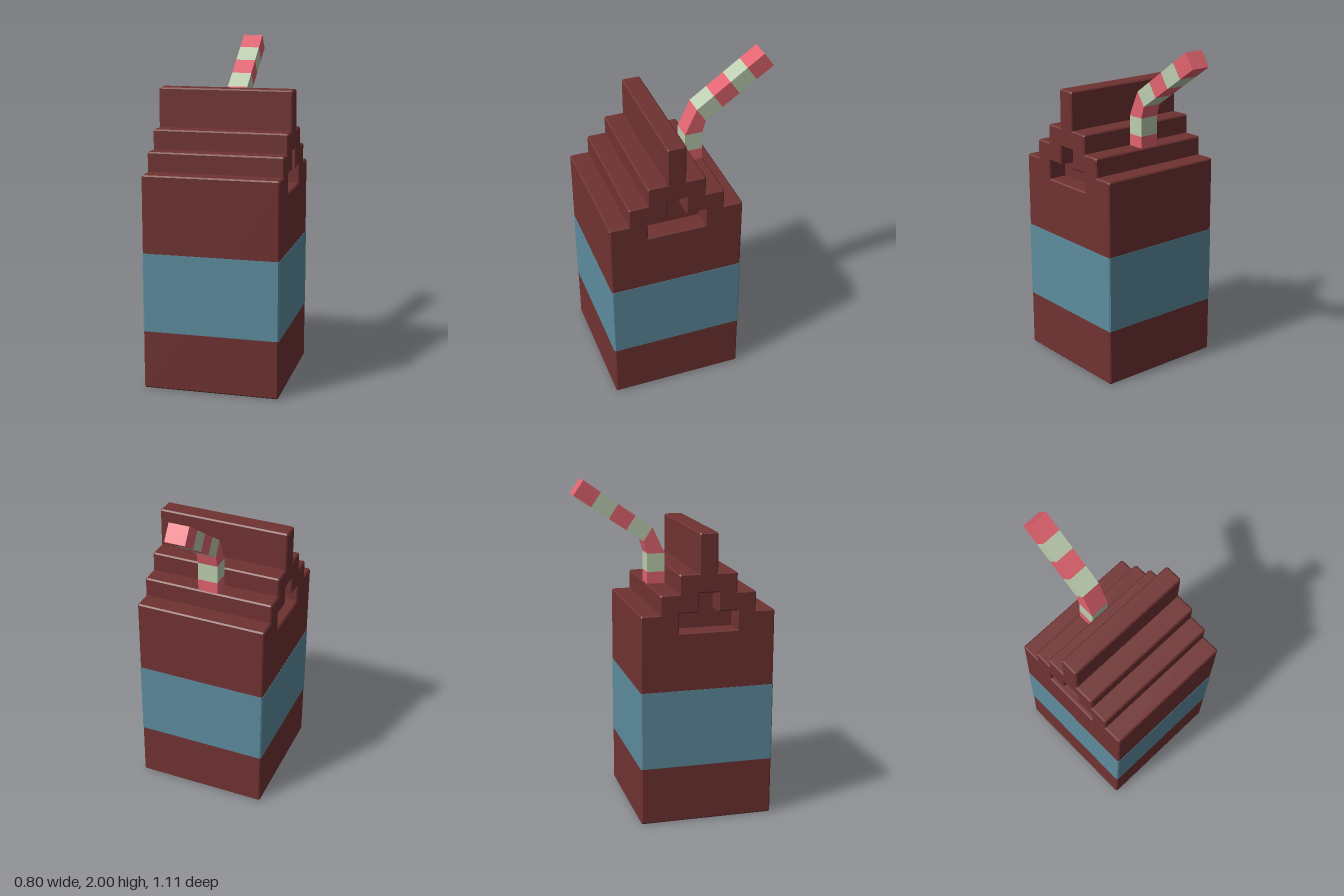
import * as THREE from 'three';

const mat = (name, color) => {
  const m = new THREE.MeshStandardMaterial({ color });
  m.name = name;
  return m;
};

// Cuts the outward corners of a counter-clockwise outline
function chamfer(points, c) {
  const out = [];
  points.forEach(([x, y], i) => {
    const p = new THREE.Vector2(x, y);
    const a = new THREE.Vector2(...points.at(i - 1)).sub(p).normalize();
    const b = new THREE.Vector2(...points[(i + 1) % points.length]).sub(p).normalize();
    if (b.cross(a) > 0) {
      out.push(p.clone().addScaledVector(a, c), p.clone().addScaledVector(b, c));
    } else out.push(p);
  });
  return out;
}

const vecs = (pts) => pts.map(([a, b]) => new THREE.Vector2(a, b));

// Extrudes a (z, y) outline across x, centred on x = 0
function extrudeX(points, width, bevel = 0, hole = null) {
  const shape = new THREE.Shape(points);
  if (hole) shape.holes.push(new THREE.Path(hole));
  const geo = new THREE.ExtrudeGeometry(shape, {
    depth: width - 2 * bevel, bevelEnabled: bevel > 0, bevelThickness: bevel,
    bevelSize: bevel, bevelOffset: -bevel, bevelSegments: 1,
  });
  geo.translate(0, 0, bevel - width / 2);
  geo.rotateY(-Math.PI / 2);
  return geo;
}

export function createModel() {
  const group = new THREE.Group();
  const cartonMat = mat('carton maroon', 0x703232);
  const bandMat = mat('band blue', 0x5d8c9e);
  const redMat = mat('straw red', 0xe0636f);
  const paleMat = mat('straw pale green', 0xbccdb0);
  const add = (name, geo, material) => {
    const mesh = new THREE.Mesh(geo, material);
    mesh.name = name;
    group.add(mesh);
  };

  // Carton: stepped gable outline, with a notch in each side
  const zc = 0.155;
  const steps = [[0.4, 0, 1.265], [0.285, 1.265, 1.38], [0.173, 1.38, 1.495], [0.056, 1.495, 1.727]];
  const front = steps.flatMap(([h, y0, y1]) => [[zc + h, y0], [zc + h, y1]]);
  const back = steps.flatMap(([h, y0, y1]) => [[zc - h, y0], [zc - h, y1]]).reverse();
  const notch = vecs([
    [-0.018, 1.155], [0.328, 1.155], [0.328, 1.268], [0.213, 1.268],
    [0.213, 1.38], [0.098, 1.38], [0.098, 1.268], [-0.018, 1.268],
  ]);
  add('carton', extrudeX(chamfer([...front, ...back], 0.008), 0.8, 0.008, notch), cartonMat);
  add('notchBack', extrudeX(notch, 0.57), cartonMat);

  // Band wrapped round the carton
  const r = 0.402;
  const bandGeo = new THREE.ExtrudeGeometry(
    new THREE.Shape(chamfer([[-r, -r], [r, -r], [r, r], [-r, r]], 0.008)),
    { depth: 0.465, bevelEnabled: false });
  bandGeo.rotateX(-Math.PI / 2);
  bandGeo.translate(0, 0.345, zc);
  add('band', bandGeo, bandMat);

  // Bent square straw: each section is [upper edge z, y, lower edge z, y]
  const sections = [
    [-0.018, 1.32, -0.124, 1.32], [-0.018, 1.45, -0.124, 1.45],
    [-0.018, 1.56, -0.124, 1.56], [-0.09, 1.715, -0.145, 1.633],
  ];
  const start = sections[3], end = [-0.495, 2.0, -0.555, 1.913];
  for (let i = 1; i <= 4; i++) {
    sections.push(start.map((v, k) => THREE.MathUtils.lerp(v, end[k], i / 4)));
  }
  for (let i = 0; i < sections.length - 1; i++) {
    const a = sections[i], b = sections[i + 1];
    const quad = vecs([[a[0], a[1]], [b[0], b[1]], [b[2], b[3]], [a[2], a[3]]]);
    add('strawStripe' + (i + 1), extrudeX(quad, 0.12), i % 2 ? paleMat : redMat);
  }
  return group;
}
